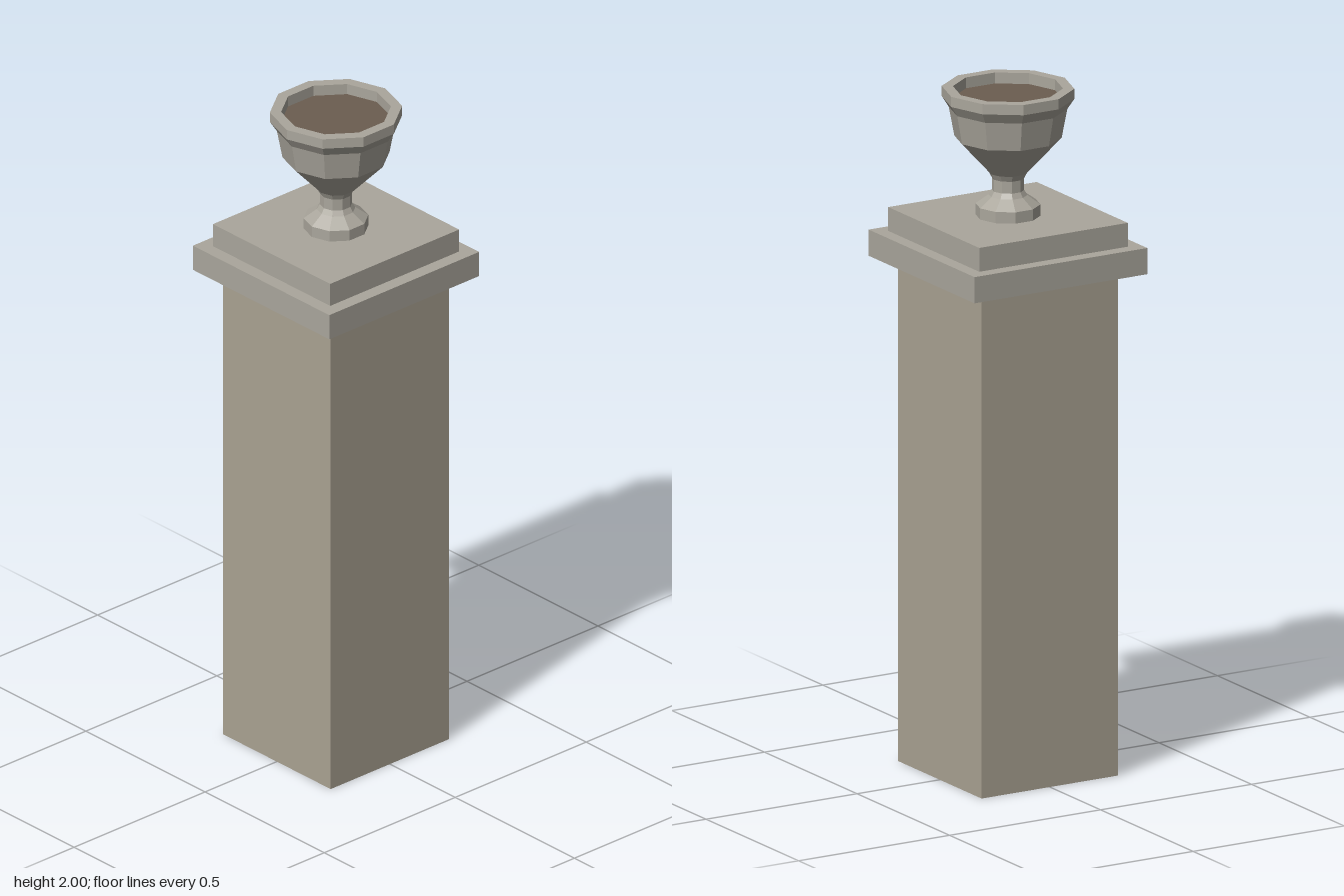
import * as THREE from 'three';

const SIDES = 10;

export function createModel() {
  const group = new THREE.Group();
  const material = (color, extra = {}) =>
    new THREE.MeshStandardMaterial({ color, flatShading: true, ...extra });
  const stone = material(0xaaa69c);
  const shaftStone = material(0xaaa292, { side: THREE.DoubleSide });
  const soilMaterial = material(0x6b5d50);

  const add = (name, geometry, mat, y = 0) => {
    const mesh = new THREE.Mesh(geometry, mat);
    mesh.name = name;
    mesh.position.y = y;
    group.add(mesh);
    return mesh;
  };

  // Hollow square shaft, open underneath
  const shaftHeight = 1.48;
  const shaft = new THREE.CylinderGeometry(0.226 * Math.SQRT2, 0.226 * Math.SQRT2, shaftHeight, 4, 1, true);
  shaft.rotateY(Math.PI / 4);
  add('shaft', shaft, shaftStone, shaftHeight / 2);

  // Two stepped cap slabs: name, half width, bottom, top
  for (const [name, half, y0, y1] of [
    ['lowerCap', 0.286, 1.478, 1.555],
    ['upperCap', 0.246, 1.555, 1.625],
  ]) {
    add(name, new THREE.BoxGeometry(half * 2, y1 - y0, half * 2), stone, (y0 + y1) / 2);
  }

  // Ten-sided urn: foot, neck, bowl, rim and inner lip in one profile
  const profile = [
    [0.092, 1.625], [0.092, 1.658], [0.055, 1.685], [0.046, 1.7],
    [0.046, 1.735], [0.055, 1.752], [0.152, 1.855], [0.168, 1.94],
    [0.188, 1.97], [0.188, 2.0], [0.156, 2.0], [0.156, 1.965],
  ].map(([r, y]) => new THREE.Vector2(r, y));
  const urn = new THREE.LatheGeometry(profile, SIDES);
  urn.rotateY(Math.PI / SIDES); // a corner points along +x
  add('urn', urn, stone);

  // Soil filling the bowl just below the rim
  const soil = new THREE.CircleGeometry(0.156, SIDES);
  soil.rotateX(-Math.PI / 2);
  add('soil', soil, soilMaterial, 1.968);

  return group;
}
